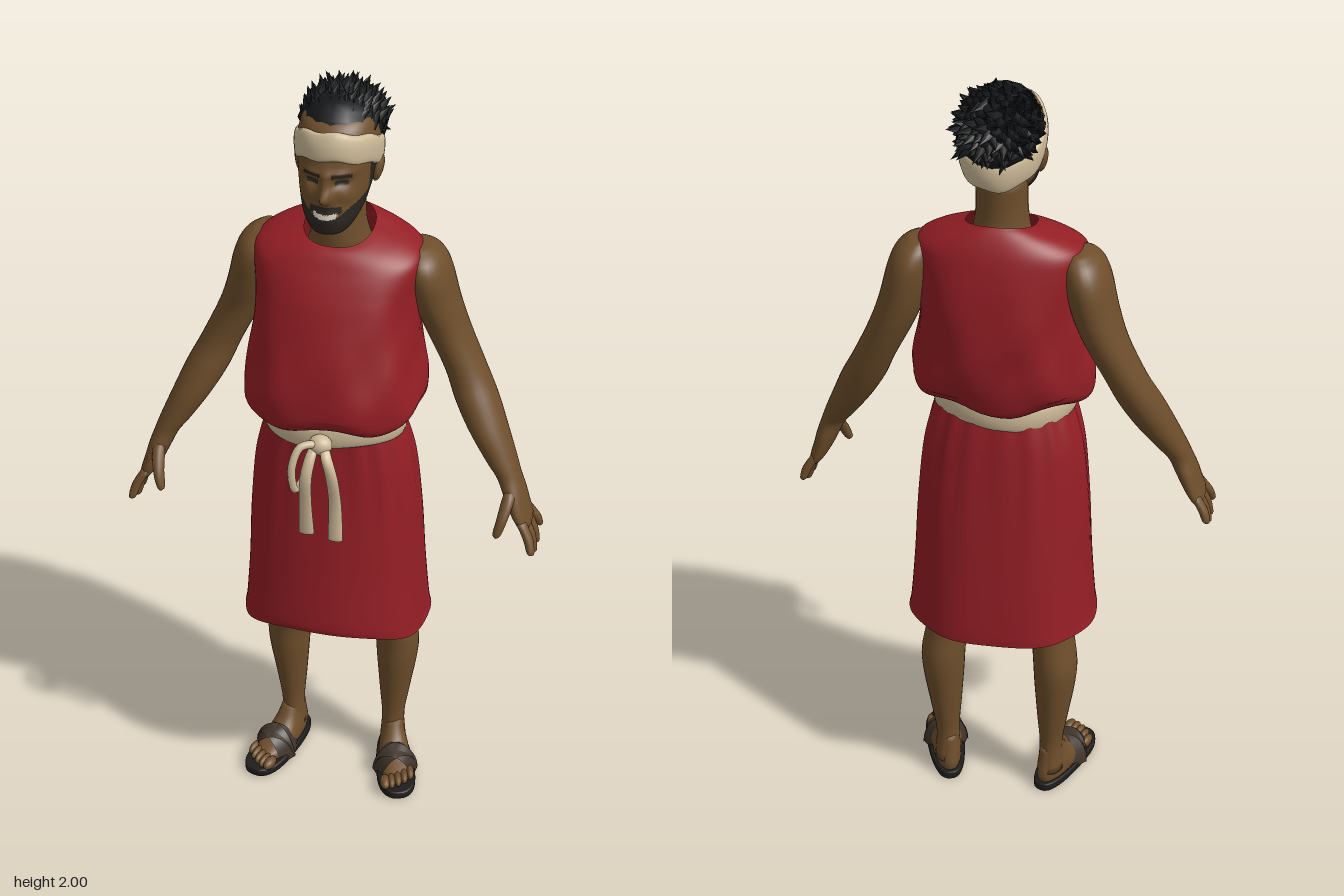
import * as THREE from 'three';

const mat = (name, color, side = THREE.FrontSide) => {
  const m = new THREE.MeshStandardMaterial({ color, side });
  m.name = name;
  return m;
};

// Lofts horizontal slices [y, centreX, halfWidth, zFront, zBack], listed upward.
// warp(v, a, y) moves points, paint(v) picks a material index per face.
function loft(rows, { seg = 20, sub = 3, n = 2, caps = true, warp, paint } = {}) {
  const A = new THREE.CatmullRomCurve3(rows.map(r => new THREE.Vector3(r[0], r[1], r[2])), false, 'catmullrom');
  const B = new THREE.CatmullRomCurve3(rows.map(r => new THREE.Vector3(r[3], r[4], 0)), false, 'catmullrom');
  const count = (rows.length - 1) * sub, pts = [], faces = [[], [], [], []];
  const pow = v => Math.sign(v) * Math.abs(v) ** (2 / n);
  for (let i = 0; i <= count; i++) {
    const p = A.getPoint(i / count), q = B.getPoint(i / count);
    for (let j = 0; j < seg; j++) {
      const a = j / seg * Math.PI * 2;
      const v = new THREE.Vector3(p.y + p.z * pow(Math.sin(a)), p.x, (q.x + q.y) / 2 + (q.x - q.y) / 2 * pow(Math.cos(a)));
      if (warp) warp(v, a, p.x);
      pts.push(v);
    }
  }
  const add = (a, b, c) => {
    const mid = pts[a].clone().add(pts[b]).add(pts[c]).divideScalar(3);
    faces[paint ? paint(mid) : 0].push(a, b, c);
  };
  for (let i = 0; i < count; i++) for (let j = 0; j < seg; j++) {
    const k = (j + 1) % seg, a = i * seg + j, b = i * seg + k;
    add(a, b, b + seg);
    add(a, b + seg, a + seg);
  }
  if (caps) for (const i of [0, count]) {
    const c = new THREE.Vector3();
    for (let j = 0; j < seg; j++) c.addScaledVector(pts[i * seg + j], 1 / seg);
    const id = pts.push(c) - 1;
    for (let j = 0; j < seg; j++) {
      const a = i * seg + j, b = i * seg + (j + 1) % seg;
      i ? add(a, b, id) : add(b, a, id);
    }
  }
  const g = new THREE.BufferGeometry().setFromPoints(pts);
  g.setIndex(faces.flat());
  if (paint) {
    let start = 0;
    faces.forEach((f, i) => { g.addGroup(start, f.length, i); start += f.length; });
  }
  g.computeVertexNormals();
  return g;
}

export function createModel() {
  const model = new THREE.Group();
  const skin = mat('skin', 0x6e4e2b), red = mat('red cloth', 0x931e25, THREE.DoubleSide);
  const linen = mat('linen', 0xcdba98, THREE.DoubleSide), hairMat = mat('black hair', 0x17181a);
  const beard = mat('beard', 0x2b2520), leather = mat('leather', 0x3f342b, THREE.DoubleSide);
  const soleMat = mat('sole', 0x1f1d1c), teeth = mat('teeth', 0xd6cdbd);
  const put = (name, geo, m, parent = model) => {
    const mesh = new THREE.Mesh(geo, m);
    mesh.name = name;
    parent.add(mesh);
    return mesh;
  };
  const ball = (name, m, x, y, z, sx, sy, sz, parent) => {
    const b = put(name, new THREE.SphereGeometry(1, 16, 12), m, parent);
    b.position.set(x, y, z);
    b.scale.set(sx, sy, sz);
    return b;
  };

  // Tunic: bloused above the belt, neckline lower in front
  put('tunic', loft([
    [1.165, 0, .165, .135, -.13], [1.185, 0, .203, .175, -.17], [1.21, 0, .222, .195, -.2], [1.26, 0, .222, .197, -.217],
    [1.33, 0, .21, .183, -.222], [1.42, 0, .2, .155, -.22], [1.5, 0, .2, .125, -.208], [1.56, 0, .207, .1, -.192],
    [1.6, 0, .203, .08, -.178], [1.628, 0, .165, .066, -.163], [1.648, 0, .115, .052, -.148], [1.658, 0, .084, .038, -.136],
  ], {
    seg: 72, sub: 4, n: 2.35, caps: false, warp: (v, a, y) => {
      const fade = Math.min(1, Math.max(0, (1.62 - y) / .3));
      const f = 1 + fade * (.014 * Math.sin(9 * a + 14 * y) + .011 * Math.sin(6 * a - 31 * y));
      v.x *= f;
      v.z *= f;
      if (y > 1.5) v.y -= (y - 1.5) / .158 * (.012 + .022 * Math.cos(a));
      if (y < 1.23) v.y += .012 * Math.sin(5 * a + 1);
    },
  }), red);

  // Skirt: gathered at the waist, hem raised in front
  put('skirt', loft([
    [.525, 0, .242, .18, -.232], [.56, 0, .236, .182, -.23], [.7, 0, .225, .168, -.212], [.85, 0, .217, .155, -.19],
    [1, 0, .203, .142, -.166], [1.08, 0, .187, .137, -.152], [1.15, 0, .165, .135, -.135],
  ], {
    seg: 96, sub: 4, n: 2.3, caps: false, warp: (v, a, y) => {
      const low = Math.max(0, (1.15 - y) / .625);
      const f = 1 + .012 * low * Math.sin(7 * a + 1) + .018 * (1 - low) ** 2 * Math.sin(18 * a);
      v.x *= f;
      v.z *= f;
      v.y += .055 * Math.max(0, 1 - (y - .525) / .4) * Math.max(0, Math.cos(a)) ** 2;
    },
  }), red);

  // Belt, knot, bow loop and hanging tails
  const sash = new THREE.Group();
  sash.name = 'sash';
  model.add(sash);
  put('belt', loft([[1.118, 0, .166, .138, -.135], [1.125, 0, .178, .153, -.146], [1.152, 0, .183, .158, -.15],
    [1.18, 0, .178, .154, -.146], [1.19, 0, .162, .138, -.135]], {
    seg: 48, caps: false, warp: (v, a) => { v.y += .006 * Math.sin(3 * a) + .004 * Math.cos(a); },
  }), linen, sash);
  ball('knot', linen, .005, 1.152, .172, .03, .026, .026, sash);
  const tail = (x, end, out) => loft([[end, x, .017, .207, .195], [end + .01, x, .019, .211, .191],
    [1, x * .98, .016, out - .008, out - .024], [1.08, x * .85, .015, out + .002, out - .017],
    [1.13, x * .55, .014, .213, .185], [1.155, x * .3, .01, .185, .16]], { seg: 14 });
  put('rightTail', tail(-.023, .905, .228), linen, sash);
  put('leftTail', tail(.05, .897, .215), linen, sash);
  const loop = [[0, 1.155, .18], [-.035, 1.16, .205], [-.052, 1.11, .228], [-.045, 1.045, .22], [-.028, 1.07, .19], [-.012, 1.13, .175]];
  put('bowLoop', new THREE.TubeGeometry(new THREE.CatmullRomCurve3(loop.map(p => new THREE.Vector3(...p)), true), 40, .01, 8, true), linen, sash);

  // Neck and head, with painted brows, eyes, beard, nape and smile
  put('neck', loft([[1.54, 0, .1, .02, -.14], [1.62, 0, .072, .025, -.13], [1.68, 0, .062, .025, -.12], [1.78, 0, .062, .02, -.125]], { seg: 28 }), skin);
  const bump = (x, y, cx, cy, wx, wy) => Math.exp(-(((x - cx) / wx) ** 2) - ((y - cy) / wy) ** 2);
  put('head', loft([
    [1.684, 0, .026, .085, .03], [1.692, 0, .044, .1, 0], [1.715, 0, .062, .104, -.035], [1.74, 0, .074, .1, -.075],
    [1.78, 0, .084, .095, -.115], [1.82, 0, .09, .092, -.142], [1.86, 0, .094, .088, -.155], [1.9, 0, .094, .076, -.16],
    [1.94, 0, .08, .05, -.15], [1.965, 0, .04, 0, -.11],
  ], {
    seg: 96, sub: 9, n: 2.15,
    warp: (v) => {
      if (v.z < .03) return;
      const x = Math.abs(v.x), y = v.y;
      v.z += .03 * bump(x, y, 0, 1.785, .014, .017) + .014 * bump(x, y, 0, 1.815, .011, .03)
        + .006 * bump(x, y, 0, 1.735, .03, .02) + .006 * bump(x, y, .03, 1.84, .035, .01)
        - .011 * bump(x, y, .034, 1.817, .018, .011) + .005 * bump(x, y, .05, 1.785, .02, .016);
    },
    paint: ({ x, y, z }) => {
      x = Math.abs(x);
      if (z > .05) {
        if (x < .028 && Math.abs(y - 1.736 - x * x * 8) < .006) return 2;
        if (x > .012 && x < .058 && Math.abs(y - 1.838 + (x - .035) ** 2 * 6) < .005) return 1;
        if (Math.abs(x - .034) < .015 && Math.abs(y - 1.817) < .0045) return 1;
        if (x < .038 && y > 1.745 && y < 1.761) return 1;
      }
      if (z > -.04 && y < 1.737 + Math.max(0, x - .03) * .75) return 1;
      if (z > -.03 && z < .012 && y < 1.87) return 1;
      return z < -.075 && y > 1.765 ? 1 : 0;
    },
  }), [skin, beard, teeth]);
  for (const s of [1, -1]) {
    const ear = ball(s > 0 ? 'leftEar' : 'rightEar', skin, s * .094, 1.807, -.04, .012, .034, .022);
    ear.rotation.set(-.2, 0, -s * .2);
  }
  // Headband slopes down toward the back
  put('headband', loft([[1.812, 0, .092, .084, -.157], [1.819, 0, .101, .092, -.167], [1.85, 0, .105, .09, -.173],
    [1.878, 0, .103, .08, -.17], [1.886, 0, .092, .07, -.16]], {
    seg: 48, caps: false, warp: (v, a) => { v.y += .015 + .4 * (v.z + .02) + .003 * Math.sin(7 * a); },
  }), linen);

  // Hair: dome with swept-back tufts
  const hair = new THREE.Group();
  hair.name = 'hair';
  model.add(hair);
  const dome = ball('hairDome', hairMat, 0, 1.895, -.066, .097, .085, .124, hair);
  dome.rotation.x = -.3;
  let seed = 7;
  const rand = () => (seed = seed * 16807 % 2147483647) / 2147483647;
  const up = new THREE.Vector3(0, 1, 0), tuft = new THREE.ConeGeometry(.019, .062, 6).translate(0, .012, 0);
  for (let i = 0; i < 230; i++) {
    const h = 1 - 1.5 * (i + .5) / 230, r = Math.sqrt(1 - h * h), a = i * 2.39996;
    const dir = new THREE.Vector3(r * Math.sin(a), h, r * Math.cos(a));
    const pos = new THREE.Vector3(dir.x * .092, 1.897 + dir.y * .078, -.072 + dir.z * .113);
    if (pos.y < 1.885 + .42 * pos.z + (pos.z > -.08 ? .05 : .0)) continue;
    const lean = new THREE.Vector3(rand() - .5, .35 + rand() * .5, -.9 - rand() * .5);
    if (pos.z < -.12) lean.set(rand() - .5, -.6 + rand(), -.3);
    const t = put('tuft', tuft, hairMat, hair);
    t.position.copy(pos);
    t.quaternion.setFromUnitVectors(up, dir.multiplyScalar(.6).add(lean).normalize());
    t.scale.setScalar(.75 + rand() * .3);
  }

  for (const s of [1, -1]) {
    const side = s > 0 ? 'left' : 'right';
    const part = (rows, o) => loft(rows.map(r => [r[0], r[1] * s, ...r.slice(2)]), o);
    // Arm down to the palm
    put(side + 'Arm', part([
      [.895, .49, .015, .055, -.045], [.91, .485, .021, .061, -.053], [.94, .472, .025, .06, -.056], [.98, .457, .029, .05, -.056],
      [1.02, .44, .032, .035, -.052], [1.06, .417, .04, .03, -.068], [1.13, .378, .05, .02, -.1], [1.2, .343, .055, 0, -.125],
      [1.27, .31, .052, -.02, -.143], [1.37, .262, .054, -.02, -.162], [1.45, .232, .057, -.002, -.17], [1.53, .212, .057, .012, -.17],
      [1.575, .2, .048, 0, -.152], [1.6, .19, .025, -.04, -.12],
    ], { seg: 28, sub: 4 }), skin);
    // Fingers and thumb
    const hand = new THREE.Group();
    hand.name = side + 'Fingers';
    model.add(hand);
    [[.047, .842, .073], [.018, .825, .03], [-.01, .828, -.008], [-.036, .85, -.05]].forEach(([z, tip, tz]) => {
      const m = (z + tz) / 2, my = (tip + .92) / 2;
      put('finger', part([[tip, .518, .004, tz + .005, tz - .005], [tip + .008, .516, .01, tz + .011, tz - .011],
        [my, .506, .013, m + .014, m - .014], [.92, .483, .013, z + .015, z - .015]], { seg: 12 }), skin, hand);
    });
    put('thumb', part([[.895, .432, .004, .099, .088], [.905, .433, .011, .103, .079], [.94, .442, .014, .093, .06],
      [.98, .45, .016, .064, .025], [1, .45, .01, .04, .01]], { seg: 14 }), skin, hand);
    // Leg
    put(side + 'Leg', part([
      [.05, .14, .034, -.045, -.14], [.13, .14, .03, -.055, -.13], [.22, .143, .04, -.046, -.14], [.33, .148, .053, -.03, -.155],
      [.4, .148, .057, -.024, -.158], [.48, .138, .055, -.008, -.147], [.55, .131, .06, 0, -.147], [.75, .115, .08, .03, -.15],
      [1, .095, .085, .04, -.12],
    ], { seg: 28, sub: 4 }), skin);
    // Sandalled foot, turned outward
    const foot = new THREE.Group();
    foot.name = side + 'Foot';
    foot.position.set(s * .14, 0, -.09);
    foot.rotation.y = s * .3;
    model.add(foot);
    const shape = (v) => { v.x *= .8 + 1.2 * Math.min(.2, Math.max(0, v.z + .03)); };
    put('sole', loft([[0, 0, .05, .205, -.06], [.004, 0, .054, .211, -.063], [.02, 0, .054, .211, -.063], [.024, 0, .05, .207, -.06]],
      { seg: 36, sub: 2, n: 2.6, warp: shape }), soleMat, foot);
    put('instep', loft([[.02, 0, .044, .175, -.052], [.04, 0, .046, .165, -.055], [.06, 0, .042, .11, -.052],
      [.085, 0, .036, .065, -.046], [.125, 0, .028, .034, -.04]], { seg: 28, n: 2.3, warp: shape }), skin, foot);
    for (let i = 0; i < 5; i++)
      ball('toe', skin, s * (-.034 + i * .0175), .036, .178 - i * i * .0022, i ? .0105 : .014, .015, .026, foot);
    for (const t of [1, -1]) {
      const strap = put('strap', new THREE.CylinderGeometry(.96, 1, .05, 24, 1, true, -Math.PI / 2, Math.PI), leather, foot);
      strap.geometry.rotateX(Math.PI / 2).scale(.056, -.079, 1);
      strap.geometry.index.array.reverse();
      strap.geometry.computeVertexNormals();
      strap.position.set(0, .008, .092);
      strap.rotation.set(.18, t * .38, 0);
    }
  }
  return model;
}
